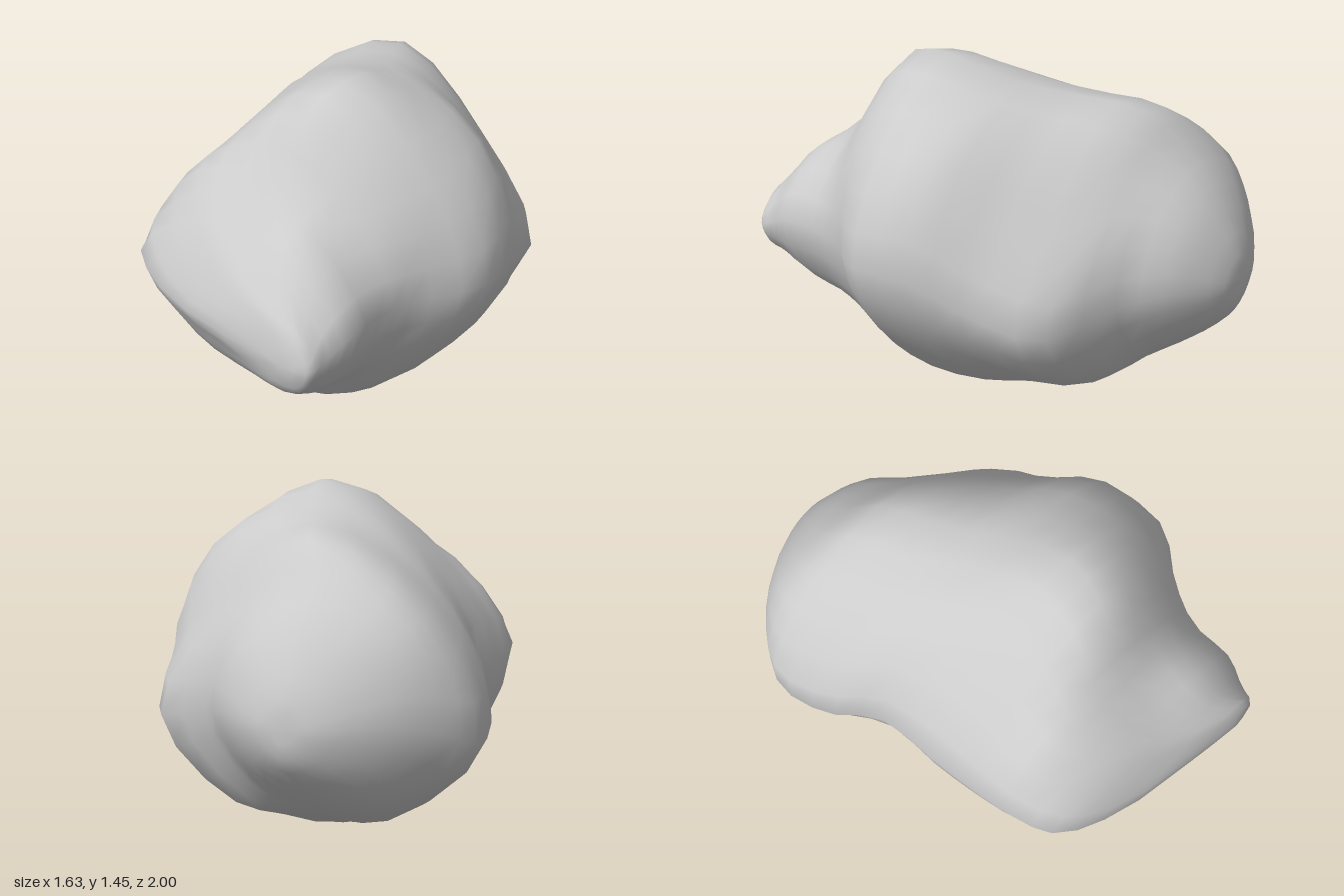
import * as THREE from 'three';
import { mergeVertices } from 'three/addons/utils/BufferGeometryUtils.js';

const COLS = 24, ROWS = 30;

// Cross-sections from back to front: z, centre x, centre y,
// then eight radii, counter-clockwise from +x in 45 degree steps
const SECTIONS = [
  [-0.985, -0.2, 0.62, 0.13, 0.12, 0.13, 0.12, 0.13, 0.12, 0.13, 0.12],
  [-0.87, -0.2, 0.64, 0.33, 0.33, 0.33, 0.34, 0.35, 0.32, 0.28, 0.29],
  [-0.72, -0.2, 0.60, 0.48, 0.49, 0.54, 0.54, 0.51, 0.43, 0.35, 0.39],
  [-0.56, -0.1, 0.53, 0.69, 0.60, 0.76, 0.71, 0.71, 0.48, 0.35, 0.48],
  [-0.30, 0.0, 0.60, 0.69, 0.66, 0.73, 0.70, 0.77, 0.58, 0.53, 0.56],
  [-0.08, 0.12, 0.71, 0.66, 0.67, 0.67, 0.68, 0.76, 0.70, 0.69, 0.61],
  [0.20, 0.2, 0.72, 0.61, 0.61, 0.745, 0.68, 0.81, 0.79, 0.70, 0.56],
  [0.42, 0.15, 0.70, 0.50, 0.55, 0.71, 0.62, 0.73, 0.70, 0.64, 0.50],
  [0.60, 0.08, 0.71, 0.52, 0.44, 0.45, 0.53, 0.63, 0.57, 0.47, 0.50],
  [0.78, 0.10, 0.71, 0.50, 0.37, 0.25, 0.35, 0.58, 0.41, 0.36, 0.46],
  [0.90, 0.20, 0.65, 0.36, 0.27, 0.19, 0.21, 0.43, 0.19, 0.20, 0.30],
  [0.975, 0.40, 0.62, 0.14, 0.13, 0.13, 0.13, 0.17, 0.11, 0.11, 0.13],
];

// Smooth closed outline of one cross-section
function ring([z, cx, cy, ...radii]) {
  const corners = radii.map((r, i) => {
    const a = i * Math.PI / 4;
    return new THREE.Vector3(cx + r * Math.cos(a), cy + r * Math.sin(a), z);
  });
  const curve = new THREE.CatmullRomCurve3(corners, true);
  return Array.from({ length: COLS }, (_, i) => curve.getPoint(i / COLS));
}

function rockGeometry() {
  const rings = SECTIONS.map(ring);
  const backTip = new THREE.Vector3(-0.2, 0.62, -1);
  const frontTip = new THREE.Vector3(0.42, 0.62, 1);
  const positions = [], index = [];

  // Lengthwise curves through the rings, from tip to tip
  for (let i = 0; i < COLS; i++) {
    const curve = new THREE.CatmullRomCurve3([backTip, ...rings.map(r => r[i]), frontTip]);
    for (let j = 0; j <= ROWS; j++) positions.push(...curve.getPoint(j / ROWS).toArray());
  }

  for (let i = 0; i < COLS; i++) {
    for (let j = 0; j < ROWS; j++) {
      const a = i * (ROWS + 1) + j;
      const b = ((i + 1) % COLS) * (ROWS + 1) + j;
      if (j > 0) index.push(a, b, a + 1);
      if (j < ROWS - 1) index.push(b, b + 1, a + 1);
    }
  }

  let geometry = new THREE.BufferGeometry();
  geometry.setAttribute('position', new THREE.Float32BufferAttribute(positions, 3));
  geometry.setIndex(index);
  geometry = mergeVertices(geometry, 1e-4); // joins the tips for smooth shading
  geometry.computeVertexNormals();
  return geometry;
}

export function createModel() {
  const group = new THREE.Group();
  group.name = 'asteroid';
  const rock = new THREE.Mesh(rockGeometry(), new THREE.MeshStandardMaterial({ color: 0xcccccc }));
  rock.name = 'rock';
  group.add(rock);
  return group;
}
